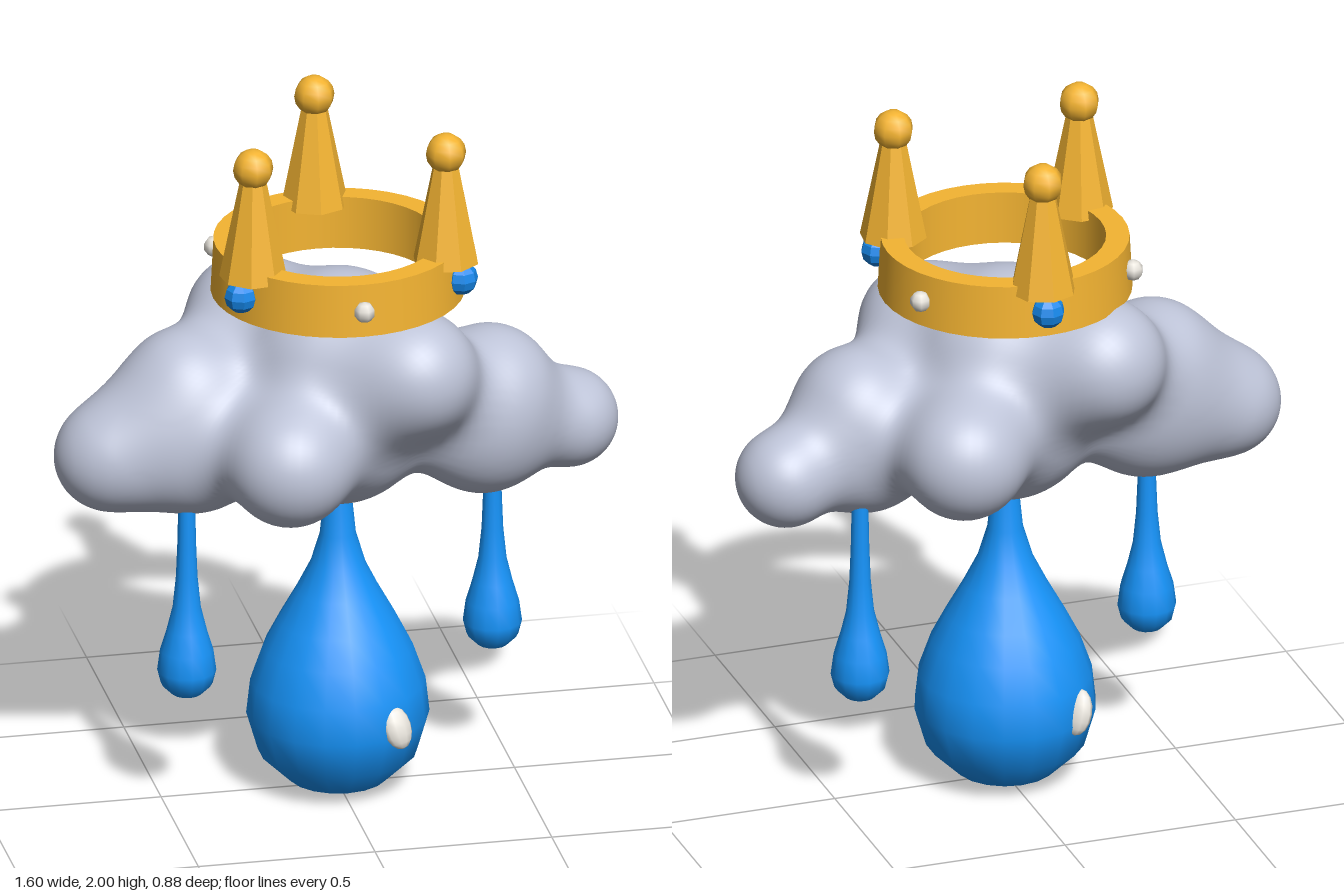
import * as THREE from 'three';
import { mergeVertices } from 'three/addons/utils/BufferGeometryUtils.js';

const mat = (color, flatShading = false) => new THREE.MeshStandardMaterial({ color, flatShading });

// Cloud lobes: x, y, z, radius
const LOBES = [
  [0, 1.27, 0, 0.27], [0, 1.115, 0, 0.25],
  [-0.65, 1.045, 0, 0.15], [-0.56, 1.08, 0, 0.13], [-0.42, 1.2, -0.03, 0.19], [-0.4, 1.055, 0, 0.185],
  [0.66, 1.03, -0.045, 0.14], [0.42, 1.165, 0.03, 0.185], [0.4, 1.045, 0.03, 0.175],
  [-0.19, 1.09, 0.265, 0.175], [0.17, 1.31, 0.215, 0.175],
  [0.215, 1.12, -0.27, 0.175], [-0.2, 1.33, -0.225, 0.18],
];

// Smooth union of the lobes
function cloudDistance(p) {
  const k = 0.125;
  let d = Infinity;
  for (const [x, y, z, r] of LOBES) {
    const e = Math.hypot(p.x - x, p.y - y, p.z - z) - r;
    const h = Math.max(k - Math.abs(d - e), 0) / k;
    d = Math.min(d, e) - (h * h * k) / 4;
  }
  return d;
}

// Shrink-wrap a sphere onto the blended lobes, along rays leaving a spine in x
function cloudGeometry() {
  let g = new THREE.IcosahedronGeometry(1, 36);
  g.deleteAttribute('uv');
  g.deleteAttribute('normal');
  g = mergeVertices(g, 1e-5);
  const pos = g.attributes.position;
  const start = new THREE.Vector3(), dir = new THREE.Vector3(), p = new THREE.Vector3();
  for (let i = 0; i < pos.count; i++) {
    dir.fromBufferAttribute(pos, i);
    start.set(0.55 * dir.x, 1.13 - 0.1 * dir.x * dir.x, -0.04 * Math.max(dir.x, 0));
    let t = 1;
    for (let s = 0; s < 150; s++) {
      const d = cloudDistance(p.copy(start).addScaledVector(dir, t));
      if (d < 0.0003) break;
      t -= d;
    }
    pos.setXYZ(i, p.x, p.y, p.z);
  }
  g.computeVertexNormals();
  return g;
}

const lathe = (points, segments) =>
  new THREE.LatheGeometry(points.map(([r, y]) => new THREE.Vector2(r, y)), segments);

export function createModel() {
  const model = new THREE.Group();
  const gold = mat(0xf4b432), goldFlat = mat(0xf4b432, true);
  const blue = mat(0x1694fa), gemBlue = mat(0x1688ea, true);
  const white = mat(0xe8e4dc);

  const add = (name, geometry, material, x = 0, y = 0, z = 0) => {
    const mesh = new THREE.Mesh(geometry, material);
    mesh.name = name;
    mesh.position.set(x, y, z);
    model.add(mesh);
    return mesh;
  };

  add('cloud', cloudGeometry(), mat(0xbec4d8));

  // Rain drops
  add('largeDrop', lathe([[0, 0.005], [0.14, 0.03], [0.222, 0.11], [0.254, 0.22], [0.243, 0.32],
    [0.208, 0.42], [0.167, 0.5], [0.117, 0.59], [0.077, 0.67], [0.05, 0.76], [0.038, 0.88], [0.03, 0.93]], 18), blue);
  const smallDrop = lathe([[0, 0.342], [0.042, 0.35], [0.072, 0.38], [0.082, 0.42], [0.074, 0.48],
    [0.056, 0.54], [0.039, 0.61], [0.03, 0.7], [0.026, 0.8], [0.023, 0.94]], 14);
  for (const side of [-1, 1])
    add(side > 0 ? 'leftSmallDrop' : 'rightSmallDrop', smallDrop, blue, side * 0.45 + 0.005, 0, side * -0.083);

  // Glints on the large drop
  const glint = new THREE.SphereGeometry(1, 10, 8);
  const front = add('frontGlint', glint, white, 0.122, 0.25, 0.218);
  front.scale.set(0.042, 0.062, 0.026);
  front.rotation.set(-0.35, 0.2, 0.25);
  const back = add('backGlint', glint, white, -0.145, 0.255, -0.195);
  back.scale.set(0.026, 0.066, 0.042);
  back.rotation.set(0, Math.PI / 4, 0.35);

  // Crown band, one strip per face to keep edges crisp
  const ring = [[0.28, 1.495], [0.353, 1.495], [0.345, 1.648], [0.28, 1.648], [0.28, 1.495]];
  const band = new THREE.Group();
  band.name = 'crownBand';
  for (let i = 0; i < 4; i++) {
    const face = new THREE.Mesh(lathe([ring[i], ring[i + 1]], 40), gold);
    face.name = 'bandFace';
    band.add(face);
  }
  model.add(band);

  // Spikes, balls and gems around the crown
  const spike = new THREE.CylinderGeometry(0.03, 0.094, 0.32, 8);
  const ball = new THREE.SphereGeometry(0.057, 8, 8);
  const blueGem = new THREE.SphereGeometry(0.047, 8, 6);
  const whiteGem = new THREE.SphereGeometry(0.03, 7, 5);
  for (let i = 0; i < 3; i++) {
    const a = Math.PI / 3 + (i * Math.PI * 2) / 3;
    const s = Math.sin(a), c = Math.cos(a);
    add('crownSpike', spike, goldFlat, s * 0.315, 1.78, c * 0.315).rotation.y = a;
    add('spikeBall', ball, gold, s * 0.315, 1.943, c * 0.315);
    add('blueGem', blueGem, gemBlue, s * 0.36, 1.572, c * 0.36);
    add('whiteGem', whiteGem, white, -s * 0.36, 1.572, -c * 0.36);
  }
  return model;
}
